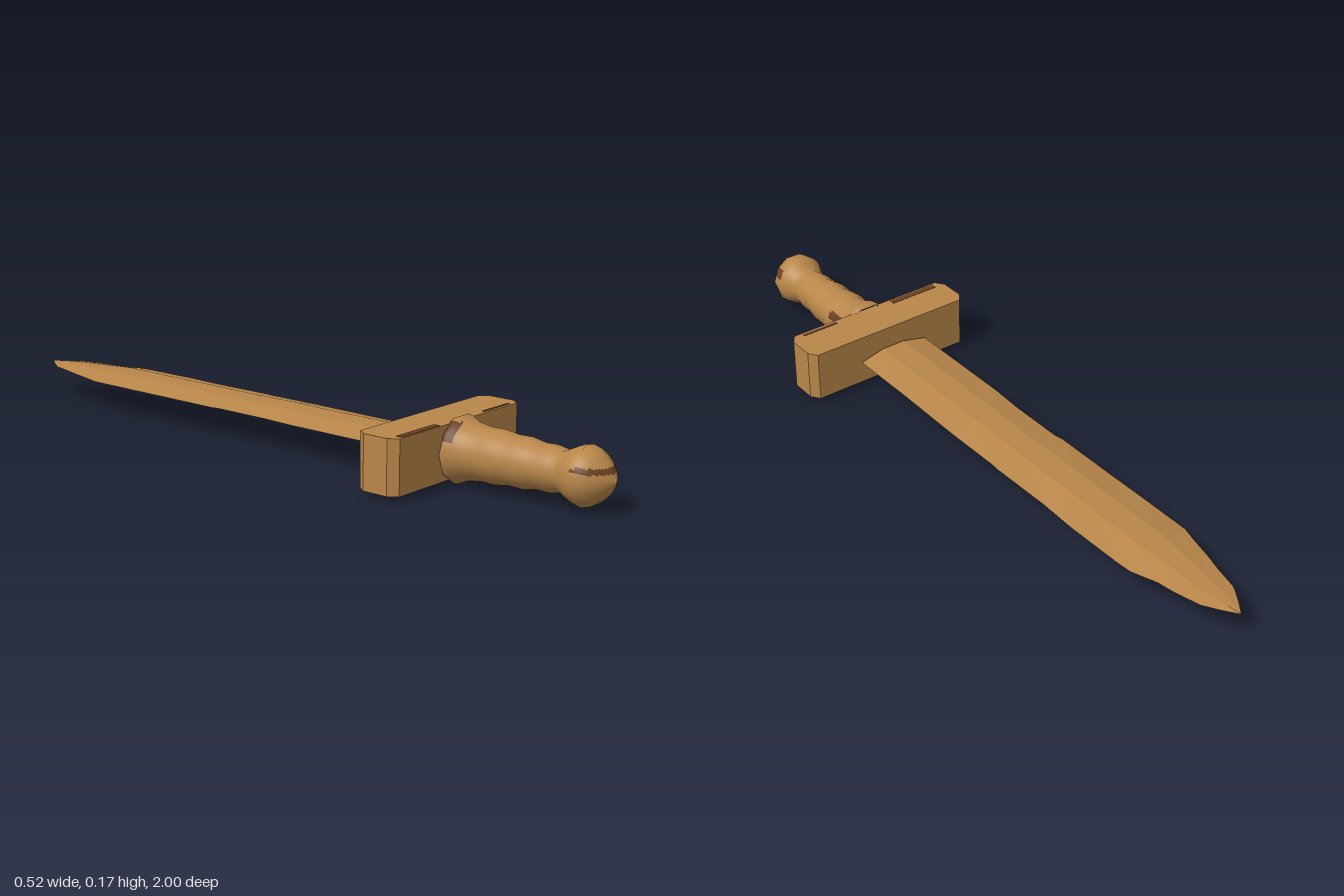
import * as THREE from 'three';

const CY = 0.088; // height of the sword's long axis
const wood = new THREE.MeshStandardMaterial({ color: 0xb8864a });
wood.name = 'light wood';
const stain = new THREE.MeshStandardMaterial({ color: 0x6b4022 });
stain.name = 'dark wood stain';

function addMesh(group, name, geometry, material) {
  const mesh = new THREE.Mesh(geometry, material);
  mesh.name = name;
  group.add(mesh);
  return mesh;
}

// Blade: a flattened hexagon swept towards the tip, with slightly uneven whittled edges
function bladeGeometry() {
  // z, left half width, right half width, half thickness
  const rows = [
    [0.415, 0.108, 0.11, 0.018], [0.2, 0.107, 0.11, 0.017], [0.07, 0.109, 0.11, 0.016],
    [-0.02, 0.11, 0.105, 0.018], [-0.19, 0.108, 0.105, 0.016], [-0.21, 0.11, 0.11, 0.016],
    [-0.4, 0.107, 0.11, 0.017], [-0.52, 0.111, 0.111, 0.016], [-0.69, 0.108, 0.111, 0.017],
    [-0.73, 0.105, 0.1, 0.015], [-0.8, 0.08, 0.084, 0.012], [-0.85, 0.072, 0.07, 0.009],
    [-0.92, 0.054, 0.054, 0.006], [-0.96, 0.03, 0.03, 0.004], [-0.999, 0.002, 0.002, 0.001],
  ];
  const pos = [], index = [], n = 6;
  for (const [z, l, r, t] of rows) {
    pos.push(l, CY, z, l * 0.32, CY + t, z, -r * 0.32, CY + t, z,
      -r, CY, z, -r * 0.32, CY - t, z, l * 0.32, CY - t, z);
  }
  for (let i = 0; i < rows.length - 1; i++) {
    for (let j = 0; j < n; j++) {
      const a = i * n + j, b = i * n + (j + 1) % n;
      index.push(a, a + n, b, b, a + n, b + n);
    }
  }
  const last = (rows.length - 1) * n;
  for (let j = 1; j < n - 1; j++) {
    index.push(0, j, j + 1, last, last + j + 1, last + j);
  }
  const g = new THREE.BufferGeometry();
  g.setAttribute('position', new THREE.Float32BufferAttribute(pos, 3));
  g.setIndex(index);
  const flat = g.toNonIndexed();
  flat.computeVertexNormals();
  return flat;
}

// Guard: a bar with chamfered ends, drawn in plan and extruded upwards
function guardGeometry() {
  const w = 0.262, c = 0.018, z0 = 0.425, z1 = 0.548, d = 0.025;
  const plan = [[-w + c, -z1], [w - c, -z1], [w, -z1 + d], [w, -z0 - d],
    [w - c, -z0], [-w + c, -z0], [-w, -z0 - d], [-w, -z1 + d]];
  const shape = new THREE.Shape(plan.map(p => new THREE.Vector2(...p)));
  const g = new THREE.ExtrudeGeometry(shape, { depth: 0.145, bevelEnabled: false });
  return g.rotateX(-Math.PI / 2).translate(0, 0.016, 0);
}

// Stained areas of the handle
function isStained(x, y, z) {
  if (z > 0.91) {
    const top = 0.121 + 0.02 * THREE.MathUtils.smoothstep(x, 0.03, 0.065);
    return y > 0.107 && y < top;
  }
  if (z > 0.65) return false;
  if (x > 0) return y > 0.105 && y < 0.135 - (z - 0.55) * 0.1;
  return z < 0.575 && y > 0.12 && y < 0.165;
}

// Handle: ten-sided turned grip and pommel, finely divided to follow the stain
function handleGeometry() {
  const profile = [[0.54, 0.084], [0.552, 0.09], [0.565, 0.087], [0.59, 0.075], [0.63, 0.069],
    [0.67, 0.07], [0.71, 0.064], [0.75, 0.065], [0.79, 0.058], [0.825, 0.059], [0.855, 0.054],
    [0.875, 0.062], [0.895, 0.073], [0.92, 0.077], [0.945, 0.07], [0.965, 0.053],
    [0.985, 0.03], [1, 0.0005]];
  const sides = 10, sub = 6, n = sides * sub, steps = 5;
  const rows = [];
  for (let i = profile.length - 1; i > 0; i--) {
    for (let k = 0; k < steps; k++) {
      const t = k / steps;
      rows.push([THREE.MathUtils.lerp(profile[i][0], profile[i - 1][0], t),
        THREE.MathUtils.lerp(profile[i][1], profile[i - 1][1], t)]);
    }
  }
  rows.push(profile[0]);
  const pos = [], nor = [], clean = [], dark = [];
  const v = new THREE.Vector3();
  rows.forEach(([z, r], i) => {
    const p = rows[Math.max(0, i - 3)], q = rows[Math.min(rows.length - 1, i + 3)];
    const slope = (p[1] - q[1]) / (p[0] - q[0]);
    for (let j = 0; j < n; j++) {
      const a = j / n * Math.PI * 2, half = Math.PI / sides;
      const facet = Math.floor(j / sub) * 2 * half + half;
      const rad = r * Math.cos(half) / Math.cos(a - facet);
      pos.push(Math.cos(a) * rad, CY + Math.sin(a) * rad, z);
      v.set(Math.cos(a), Math.sin(a), -slope).normalize();
      nor.push(v.x, v.y, v.z);
    }
  });
  for (let i = 0; i < rows.length - 1; i++) {
    for (let j = 0; j < n; j++) {
      const a = i * n + j, b = i * n + (j + 1) % n, d = b + n;
      const mid = k => (pos[a * 3 + k] + pos[d * 3 + k]) / 2;
      const list = isStained(mid(0), mid(1), mid(2)) ? dark : clean;
      list.push(a, a + n, b, b, a + n, d);
    }
  }
  const g = new THREE.BufferGeometry();
  g.setAttribute('position', new THREE.Float32BufferAttribute(pos, 3));
  g.setAttribute('normal', new THREE.Float32BufferAttribute(nor, 3));
  g.setIndex([...clean, ...dark]);
  g.addGroup(0, clean.length, 0);
  g.addGroup(clean.length, dark.length, 1);
  return g;
}

export function createModel() {
  const sword = new THREE.Group();
  sword.name = 'woodenSword';
  addMesh(sword, 'blade', bladeGeometry(), wood);
  addMesh(sword, 'guard', guardGeometry(), wood);
  addMesh(sword, 'handle', handleGeometry(), [wood, stain]);

  // Thin stain streaks along the guard's upper front edge
  for (const [x, z, w, d] of [[-0.155, 0.534, 0.15, 0.018], [0.165, 0.536, 0.11, 0.008]]) {
    const streak = addMesh(sword, 'guardStain', new THREE.BoxGeometry(w, 0.002, d), stain);
    streak.position.set(x, 0.161, z);
  }
  return sword;
}
